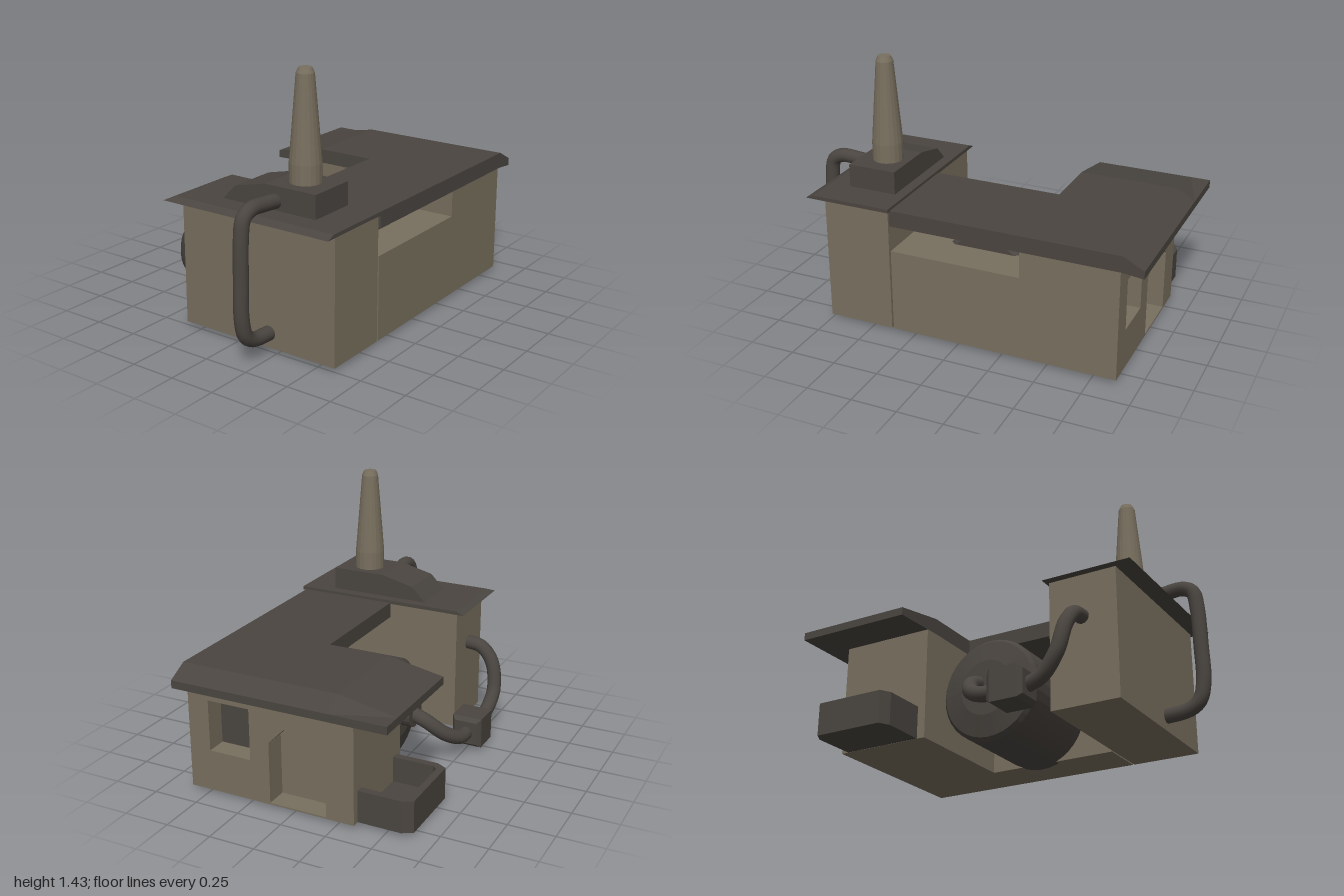
import * as THREE from 'three';

const wallMat = new THREE.MeshStandardMaterial({ color: 0x786f5e });
wallMat.name = 'tan wall';
const darkMat = new THREE.MeshStandardMaterial({ color: 0x4a4540 });
darkMat.name = 'dark metal';

const V = (x, y, z) => new THREE.Vector3(x, y, z);

function flat(geo) {
  const g = geo.index ? geo.toNonIndexed() : geo;
  g.computeVertexNormals();
  return g;
}

function makeShape(points) {
  return new THREE.Shape(points.map(([x, y]) => new THREE.Vector2(x, y)));
}

function extrude(shape, depth, z) {
  const g = new THREE.ExtrudeGeometry(shape, { depth, bevelEnabled: false });
  return g.translate(0, 0, z);
}

// Extrude a plan outline given as [x, z] from y0 to y1
function extrudePlan(points, y0, y1) {
  const g = extrude(makeShape(points.map(([x, z]) => [x, -z])), y1 - y0, 0);
  return g.rotateX(-Math.PI / 2).translate(0, y0, 0);
}

function boxBetween(x0, x1, y0, y1, z0, z1) {
  return new THREE.BoxGeometry(x1 - x0, y1 - y0, z1 - z0)
    .translate((x0 + x1) / 2, (y0 + y1) / 2, (z0 + z1) / 2);
}

function lathe(points, sides) {
  return flat(new THREE.LatheGeometry(points.map(([r, y]) => new THREE.Vector2(r, y)), sides));
}

function tube(points, radius) {
  return new THREE.TubeGeometry(new THREE.CatmullRomCurve3(points), 48, radius, 14, false);
}

export function createModel() {
  const model = new THREE.Group();
  const add = (name, geo, mat) => {
    const mesh = new THREE.Mesh(geo, mat);
    mesh.name = name;
    model.add(mesh);
    return mesh;
  };

  // Building blocks
  add('frontBlock', boxBetween(-0.345, 0.6, 0.025, 0.715, 0.38, 0.752), wallMat);
  add('middleBlock', boxBetween(0.34, 0.6, 0.025, 0.485, -0.355, 0.37), wallMat);
  add('backBlock', boxBetween(-0.345, 0.6, 0.025, 0.64, -0.76, -0.355), wallMat);

  // Back wall with an angular door recess and a square window
  const wall = makeShape([
    [-0.345, 0.025], [-0.19, 0.025], [-0.19, 0.37], [-0.1, 0.46], [0.04, 0.46],
    [0.13, 0.37], [0.13, 0.025], [0.6, 0.025], [0.6, 0.64], [-0.345, 0.64],
  ]);
  wall.holes.push(new THREE.Path([[0.24, 0.25], [0.24, 0.53], [0.48, 0.53], [0.48, 0.25]]
    .map(([x, y]) => new THREE.Vector2(x, y))));
  add('backWall', extrude(wall, 0.12, -0.88), wallMat);
  add('doorFloor', boxBetween(-0.19, 0.13, 0.025, 0.034, -0.88, -0.76), wallMat);
  add('windowPane', boxBetween(0.24, 0.48, 0.25, 0.53, -0.766, -0.759), darkMat);

  // Main roof: back slab sloping down at its back and right edges, plus a wing
  const xs = [-0.58, -0.27, 0.608], zs = [-1, -0.89, -0.355];
  const slab = new THREE.BoxGeometry(2, 1, 2, 2, 1, 2);
  const p = slab.attributes.position;
  for (let i = 0; i < p.count; i++) {
    const ix = Math.round(p.getX(i)) + 1, iz = Math.round(p.getZ(i)) + 1;
    const edge = ix === 0 || iz === 0;
    const y = p.getY(i) > 0 ? (edge ? 0.662 : 0.72) : (edge ? 0.62 : 0.632);
    p.setXYZ(i, xs[ix], y, zs[iz]);
  }
  add('backRoof', flat(slab), darkMat);
  add('wingRoof', boxBetween(0.062, 0.608, 0.632, 0.72, -0.355, 0.37), darkMat);

  // Thin front roof with sloped edges
  const cap = boxBetween(-0.39, 0.63, 0.715, 0.735, 0.362, 0.85);
  const c = cap.attributes.position;
  for (let i = 0; i < c.count; i++) {
    if (c.getY(i) < 0.73) continue;
    if (c.getX(i) < 0) c.setX(i, -0.345);
    if (c.getZ(i) > 0.6) c.setZ(i, 0.805);
  }
  add('frontRoof', flat(cap), darkMat);

  // Chimney and its stepped base
  add('chimneyBase', extrude(makeShape([
    [-0.13, 0.733], [0.445, 0.733], [0.445, 0.86], [0.14, 0.86], [-0.05, 0.815],
  ]), 0.27, 0.42), darkMat);
  add('chimney', lathe([
    [0.083, 0.86], [0.083, 0.96], [0.046, 1.405], [0.034, 1.432], [0, 1.432],
  ], 20), wallMat).position.set(0.28, 0, 0.545);

  // Horizontal drum with its outlet collar
  const drum = add('drum', lathe([
    [0, -0.22], [0.15, -0.22], [0.262, -0.193], [0.28, -0.17],
    [0.28, 0.37], [0.262, 0.39], [0, 0.39],
  ], 36), darkMat);
  const collar = add('drumCollar', lathe([
    [0, -0.3], [0.08, -0.3], [0.08, -0.21],
  ], 20), darkMat);
  for (const part of [drum, collar]) {
    part.rotation.z = -Math.PI / 2;
    part.position.set(0, 0.285, -0.067);
  }

  // Pipes
  add('drumPipe', tube([
    V(-0.28, 0.28, -0.067), V(-0.36, 0.25, -0.065), V(-0.45, 0.17, -0.01),
    V(-0.5, 0.12, 0.08), V(-0.505, 0.11, 0.2),
  ], 0.04), darkMat);
  add('sidePipe', tube([
    V(-0.505, 0.11, 0.33), V(-0.52, 0.14, 0.43), V(-0.53, 0.24, 0.515),
    V(-0.5, 0.39, 0.55), V(-0.43, 0.47, 0.56), V(-0.33, 0.488, 0.56),
  ], 0.039), darkMat);
  add('frontPipe', tube([
    V(0.2, 0.78, 0.67), V(0.2, 0.79, 0.78), V(0.2, 0.793, 0.88), V(0.2, 0.76, 0.935),
    V(0.2, 0.67, 0.953), V(0.2, 0.45, 0.96), V(0.2, 0.25, 0.96), V(0.2, 0.16, 0.935),
    V(0.2, 0.12, 0.88), V(0.2, 0.105, 0.74),
  ], 0.039), darkMat);

  // Chamfered pipe junction
  const junction = new THREE.ExtrudeGeometry(makeShape([
    [-0.57, 0.05], [-0.44, 0.05], [-0.44, 0.18], [-0.57, 0.18],
  ]), { depth: 0.15, bevelThickness: 0.025, bevelSize: 0.02, bevelSegments: 1 });
  add('pipeJunction', junction.translate(0, 0, 0.18), darkMat);

  // Side tray with a low surrounding wall
  const outer = [[-0.345, -0.84], [-0.58, -0.84], [-0.635, -0.81], [-0.635, -0.43], [-0.58, -0.4], [-0.345, -0.4]];
  const inner = [[-0.345, -0.44], [-0.57, -0.44], [-0.597, -0.46], [-0.597, -0.78], [-0.57, -0.8], [-0.345, -0.8]];
  add('trayFloor', extrudePlan(outer, 0.026, 0.06), darkMat);
  add('trayWall', extrudePlan([...outer, ...inner], 0.06, 0.2), darkMat);

  return model;
}
